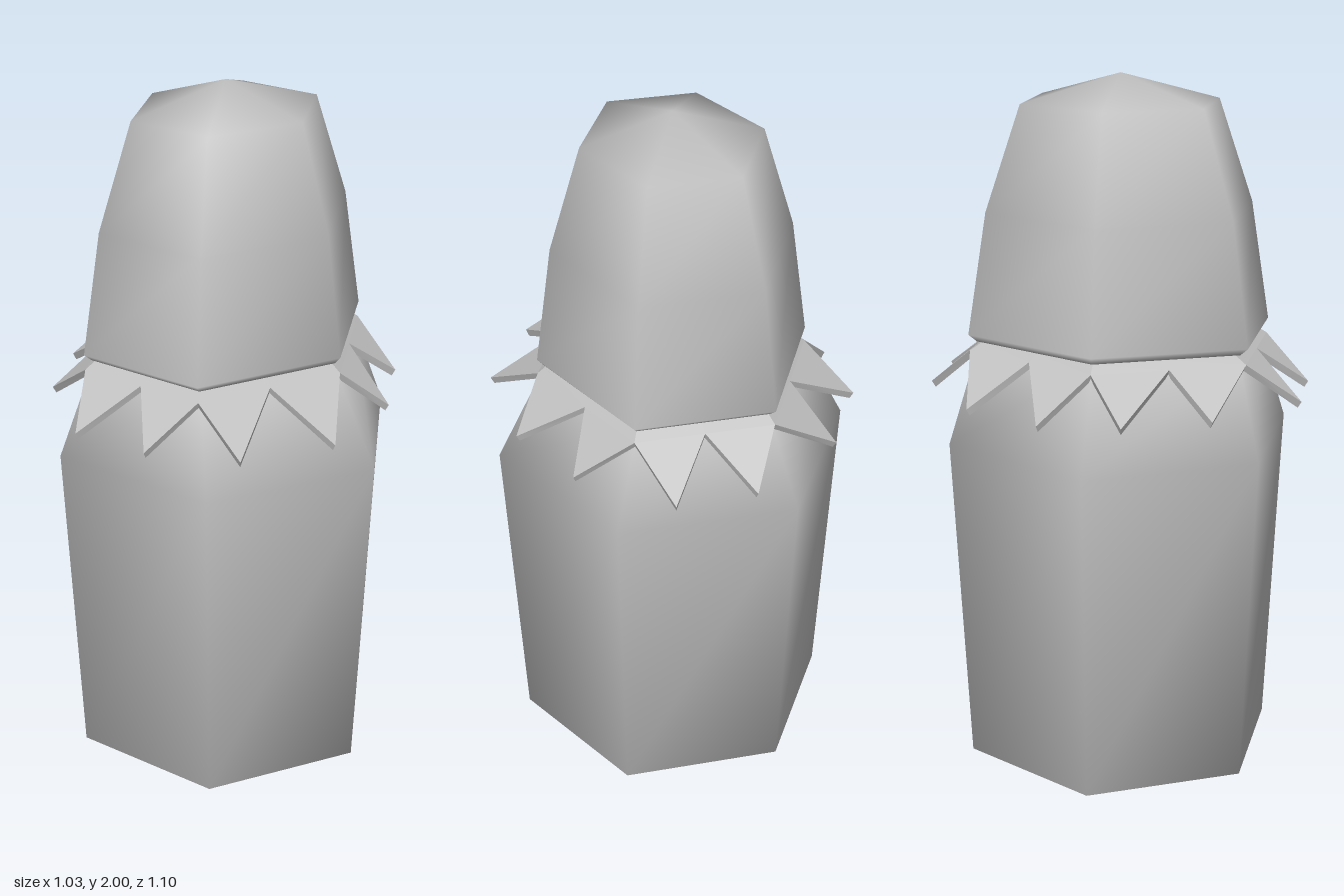
import * as THREE from 'three';

const SIDES = 6;

// Six-sided ring point; rx is the corner reach in x, rz the flat reach in z
function ringPoint(i, rx, rz, y) {
  const a = (i * Math.PI * 2) / SIDES;
  return [rx * Math.cos(a), y, (-rz * Math.sin(a)) / Math.sin(Math.PI / 3)];
}

// Skin over hexagonal loops [y, rx, rz] with optional closing points
function hexSkin(loops, bottomY, topY) {
  const pos = [];
  const index = [];
  loops.forEach(([y, rx, rz]) => {
    for (let i = 0; i < SIDES; i++) pos.push(...ringPoint(i, rx, rz, y));
  });
  const bottom = pos.length / 3;
  pos.push(0, bottomY, 0);
  pos.push(0, topY, 0);
  const last = (loops.length - 1) * SIDES;
  for (let i = 0; i < SIDES; i++) {
    const j = (i + 1) % SIDES;
    for (let k = 0; k < last; k += SIDES) {
      index.push(k + i, k + j, k + SIDES + j, k + i, k + SIDES + j, k + SIDES + i);
    }
    index.push(bottom, j, i);
    index.push(last + i, last + j, bottom + 1);
  }
  const geo = new THREE.BufferGeometry();
  geo.setAttribute('position', new THREE.Float32BufferAttribute(pos, 3));
  geo.setIndex(index);
  geo.computeVertexNormals();
  return geo;
}

// Thin pointed plate: outline counter-clockwise from above, thickened downwards
function plate(outline, thickness) {
  const n = outline.length;
  const pos = [];
  outline.forEach((p) => pos.push(...p));
  outline.forEach(([x, y, z]) => pos.push(x * 0.98, y - thickness, z * 0.98));
  const index = [];
  const fan = [[0, 1, 3], [0, 3, 4], [1, 2, 3]];
  fan.forEach(([a, b, c]) => index.push(a, b, c, n + a, n + c, n + b));
  for (let i = 0; i < n; i++) {
    const j = (i + 1) % n;
    index.push(i, n + i, n + j, i, n + j, j);
  }
  const shared = new THREE.BufferGeometry();
  shared.setAttribute('position', new THREE.Float32BufferAttribute(pos, 3));
  shared.setIndex(index);
  const geo = shared.toNonIndexed();
  geo.computeVertexNormals();
  return geo;
}

export function createModel() {
  const model = new THREE.Group();
  model.name = 'figure';
  const grey = new THREE.MeshStandardMaterial({ color: 0xc0c0c0 });
  grey.name = 'plain grey';

  const add = (name, geo, parent = model) => {
    const mesh = new THREE.Mesh(geo, grey);
    mesh.name = name;
    parent.add(mesh);
  };

  // Body: widens to the shoulders, then narrows to the neck
  add('body', hexSkin([[0, 0.465, 0.403], [0.96, 0.515, 0.447], [1.24, 0.375, 0.375]], 0, 1.24));

  // Head: tapered hood with a shallow peak and a small lower bevel
  add('head', hexSkin(
    [[1.25, 0.375, 0.38], [1.27, 0.393, 0.402], [1.62, 0.345, 0.352], [1.92, 0.255, 0.26]],
    1.25, 2
  ));

  // Collar: two uneven pointed teeth along each of the six sides
  const collar = new THREE.Group();
  collar.name = 'collar';
  model.add(collar);
  const tips = [
    [0.48, -0.125], [0.36, -0.355], [0.115, -0.55], [-0.115, -0.54],
    [-0.39, -0.355], [-0.51, -0.125], [-0.49, 0.105], [-0.375, 0.335],
    [-0.115, 0.545], [0.115, 0.535], [0.36, 0.43], [0.505, 0.19],
  ];
  // Half steps land on the corners and on the middle of each side
  const basePoint = (step, rx, rz, y) => {
    const a = ringPoint(Math.floor(step / 2), rx, rz, y);
    const b = ringPoint(Math.ceil(step / 2), rx, rz, y);
    return a.map((v, i) => (v + b[i]) / 2);
  };
  tips.forEach(([x, z], i) => {
    add('collarTooth', plate([
      basePoint(i, 0.365, 0.365, 1.248),
      basePoint(i, 0.393, 0.398, 1.225),
      [x, 1.105, z],
      basePoint(i + 1, 0.393, 0.398, 1.225),
      basePoint(i + 1, 0.365, 0.365, 1.248),
    ], 0.018), collar);
  });

  return model;
}
